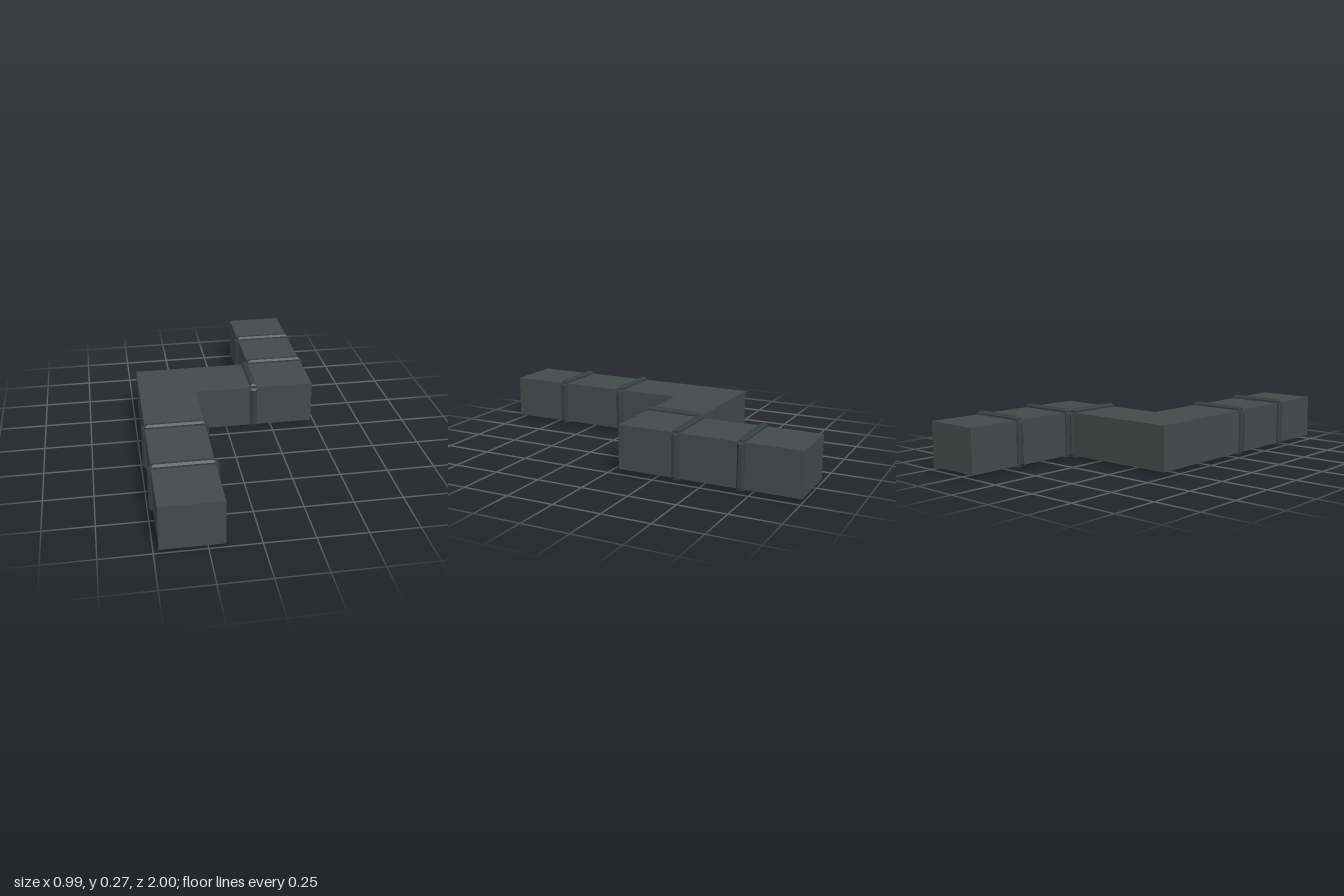
import * as THREE from 'three';

export function createModel() {
  const model = new THREE.Group();
  model.name = 'airDuct';
  const ductGrey = new THREE.MeshStandardMaterial({ name: 'duct grey', color: 0x434a49 });
  const bandGrey = new THREE.MeshStandardMaterial({ name: 'band grey', color: 0x383f3f });

  const BOTTOM = 0.02, TOP = 0.25, WALL = 0.02;
  const height = TOP - BOTTOM;

  // Z-shaped plan of the duct in (x, z), shrunk inward by t
  const plan = (t) => [
    [-0.475 + t, 1 - t], [-0.17 - t, 1 - t], [-0.17 - t, -0.05 - t], [0.475 - t, -0.05 - t],
    [0.475 - t, -1 + t], [0.17 + t, -1 + t], [0.17 + t, -0.35 + t], [-0.475 + t, -0.35 + t],
  ];
  const rect = (x0, x1, z0, z1) => [[x0, z0], [x1, z0], [x1, z1], [x0, z1]];
  const toVectors = (points) => points.map(([x, z]) => new THREE.Vector2(x, -z));

  // Horizontal slab from an outline with an optional hole
  function slab(name, outline, hole, y, depth) {
    const shape = new THREE.Shape(toVectors(outline));
    if (hole) shape.holes.push(new THREE.Path(toVectors(hole)));
    const geometry = new THREE.ExtrudeGeometry(shape, { depth, bevelEnabled: false });
    geometry.rotateX(-Math.PI / 2);
    const mesh = new THREE.Mesh(geometry, ductGrey);
    mesh.name = name;
    mesh.position.y = y;
    model.add(mesh);
  }

  // Hollow duct with a vent opening in the floor
  const vent = rect(-0.43, -0.215, 0.355, 0.62);
  slab('ductFloor', plan(0), vent, BOTTOM, WALL);
  slab('ductWalls', plan(0), plan(WALL), BOTTOM + WALL, height - 2 * WALL);
  slab('ductRoof', plan(0), null, TOP - WALL, WALL);
  slab('ventFrame', rect(-0.45, -0.195, 0.335, 0.64), vent, BOTTOM - 0.006, 0.006);

  // Chamfered bar: length along x, rising along y
  function bar(length) {
    const c = 0.01, w = 0.036, l = length / 2 - c, d = w / 2 - c;
    const shape = new THREE.Shape(toVectors(rect(-l, l, -d, d)));
    const geometry = new THREE.ExtrudeGeometry(shape, {
      depth: 0.012, bevelSize: c, bevelThickness: c, bevelSegments: 1,
    });
    return geometry.rotateX(-Math.PI / 2).translate(0, -0.003, 0);
  }

  // Joint band: four bars around the duct section
  function band(name, x, z, width, turn) {
    const group = new THREE.Group();
    group.name = name;
    for (let i = 0; i < 4; i++) {
      const side = i % 2 === 1;
      const mesh = new THREE.Mesh(bar(side ? height : width), bandGrey);
      mesh.name = ['topBar', 'leftBar', 'bottomBar', 'rightBar'][i];
      const angle = -i * Math.PI / 2;
      const reach = (side ? width : height) / 2;
      mesh.rotation.z = angle;
      mesh.position.set(-Math.sin(angle) * reach, Math.cos(angle) * reach, 0);
      group.add(mesh);
    }
    group.position.set(x, (BOTTOM + TOP) / 2, z);
    group.rotation.y = turn;
    model.add(group);
  }

  for (const z of [0.3, 0.675]) band('frontLegBand', -0.3225, z, 0.305, 0);
  for (const z of [-0.365, -0.7]) band('rearLegBand', 0.3225, z, 0.305, 0);
  band('crossingBand', 0.147, -0.2, 0.3, Math.PI / 2);

  return model;
}
